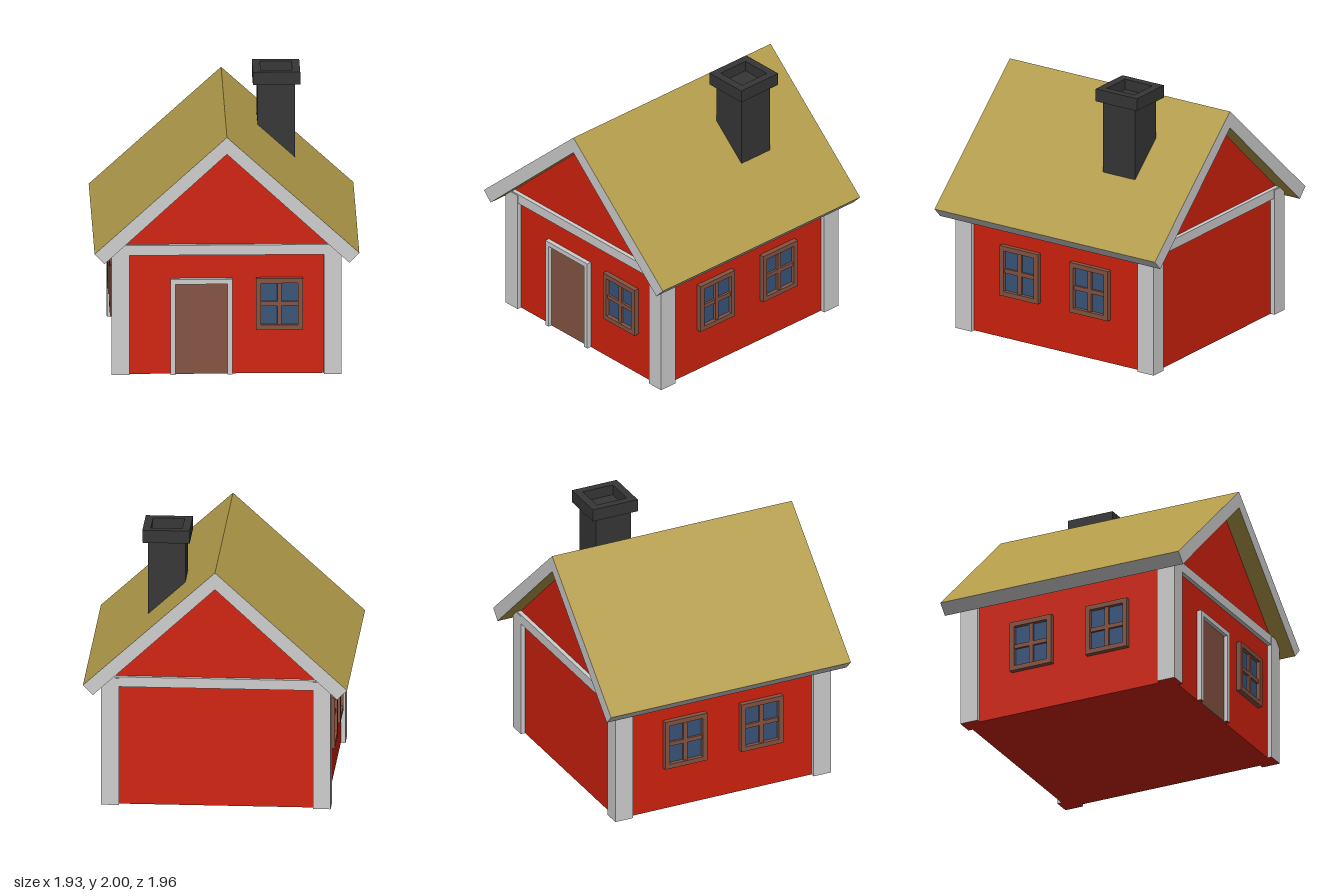
import * as THREE from 'three';

const paint = (name, color) => {
  const m = new THREE.MeshStandardMaterial({ color });
  m.name = name;
  return m;
};

export function createModel() {
  const red = paint('red wall', 0xd0220d);
  const white = paint('pale trim', 0xcecece);
  const straw = paint('straw roof', 0xb29c4a);
  const brown = paint('brown wood', 0x855342);
  const blue = paint('blue glass', 0x39547a);
  const black = paint('black chimney', 0x363636);

  const house = new THREE.Group();
  house.name = 'house';

  const add = (parent, name, geometry, material) => {
    const mesh = new THREE.Mesh(geometry, material);
    mesh.name = name;
    parent.add(mesh);
    return mesh;
  };
  // Box given by its two extreme corners
  const box = (parent, name, [x0, y0, z0], [x1, y1, z1], material) => {
    const mesh = add(parent, name, new THREE.BoxGeometry(x1 - x0, y1 - y0, z1 - z0), material);
    mesh.position.set((x0 + x1) / 2, (y0 + y1) / 2, (z0 + z1) / 2);
    return mesh;
  };
  const polygon = (points) => new THREE.Shape(points.map(([x, y]) => new THREE.Vector2(x, y)));
  const rect = (w, h) => [[-w / 2, -h / 2], [w / 2, -h / 2], [w / 2, h / 2], [-w / 2, h / 2]];
  const extrude = (shape, depth) => new THREE.ExtrudeGeometry(shape, { depth, bevelEnabled: false });
  // Rectangular frame with an open middle, rising along +z
  const frame = (w, h, innerW, innerH, depth) => {
    const shape = polygon(rect(w, h));
    shape.holes.push(polygon(rect(innerW, innerH)));
    return extrude(shape, depth);
  };

  const wallX = 0.805, wallZ = 0.845;

  // Walls with both gables, running up into the roof slab
  const walls = extrude(polygon([
    [-wallX, 0], [wallX, 0], [wallX, 1.0], [0, 1.75], [-wallX, 1.0],
  ]), 2 * wallZ);
  add(house, 'walls', walls, red).position.z = -wallZ;

  // Roof: straw slopes and soffit, pale gable edges and eaves
  const roof = extrude(polygon([
    [0, 1.695], [0.895, 0.868], [0.967, 0.943], [0, 1.822], [-0.967, 0.943], [-0.895, 0.868],
  ]), 1.956).toNonIndexed();
  roof.clearGroups();
  const p = roof.attributes.position, n = roof.attributes.normal;
  for (let i = 0; i < p.count; i += 3) {
    const gable = Math.abs(n.getZ(i)) > 0.5;
    const eave = n.getY(i) < -0.1 && n.getX(i) * p.getX(i) > 0;
    roof.addGroup(i, 3, gable || eave ? 0 : 1);
  }
  add(house, 'roof', roof, [white, straw]).position.z = -0.978;

  // Trim standing on the ground has a red underside
  const trim = [white, white, white, red, white, white];

  // Corner posts
  for (const sx of [-1, 1]) {
    for (const sz of [-1, 1]) {
      const post = box(house, 'cornerPost', [0.71, 0, 0.738], [0.84, 0.97, 0.88], trim);
      post.position.x *= sx;
      post.position.z *= sz;
    }
  }

  // Cross beams under the gables
  box(house, 'frontBeam', [-0.775, 0.905, wallZ], [0.775, 0.98, 0.877], white);
  box(house, 'backBeam', [-0.775, 0.905, -0.877], [0.775, 0.98, -wallZ], white);

  // Door and its surround
  const door = new THREE.Group();
  door.name = 'door';
  house.add(door);
  box(door, 'doorPanel', [-0.375, 0, 0.844], [0.006, 0.685, 0.852], brown);
  box(door, 'doorJamb', [-0.41, 0, 0.84], [-0.373, 0.685, 0.88], trim);
  box(door, 'doorJamb', [0.006, 0, 0.84], [0.043, 0.685, 0.88], trim);
  box(door, 'doorLintel', [-0.41, 0.685, 0.84], [0.043, 0.722, 0.88], white);

  // Four-pane window facing +z, its back on the wall
  const addWindow = (x, z, turn) => {
    const win = new THREE.Group();
    win.name = 'window';
    add(win, 'windowFrame', frame(0.342, 0.388, 0.27, 0.316, 0.038), brown);
    box(win, 'windowGlass', [-0.14, -0.16, 0], [0.14, 0.16, 0.008], blue);
    box(win, 'uprightBar', [-0.016, -0.16, 0.004], [0.016, 0.16, 0.026], brown);
    box(win, 'crossBar', [-0.14, -0.016, 0.004], [0.14, 0.016, 0.025], brown);
    win.position.set(x, 0.532, z);
    win.rotation.y = turn;
    house.add(win);
  };
  addWindow(0.386, wallZ, 0);
  for (const side of [-1, 1]) {
    for (const z of [0.318, -0.303]) addWindow(side * wallX, z, side * Math.PI / 2);
  }

  // Chimney with a hollow cap
  const chimney = new THREE.Group();
  chimney.name = 'chimney';
  house.add(chimney);
  box(chimney, 'chimneyStack', [0.25, 1.32, -0.495], [0.522, 1.92, -0.21], black);
  const cap = add(chimney, 'chimneyCap', frame(0.346, 0.366, 0.23, 0.245, 0.096), black);
  cap.rotation.x = -Math.PI / 2;
  cap.position.set(0.388, 1.904, -0.355);

  return house;
}
